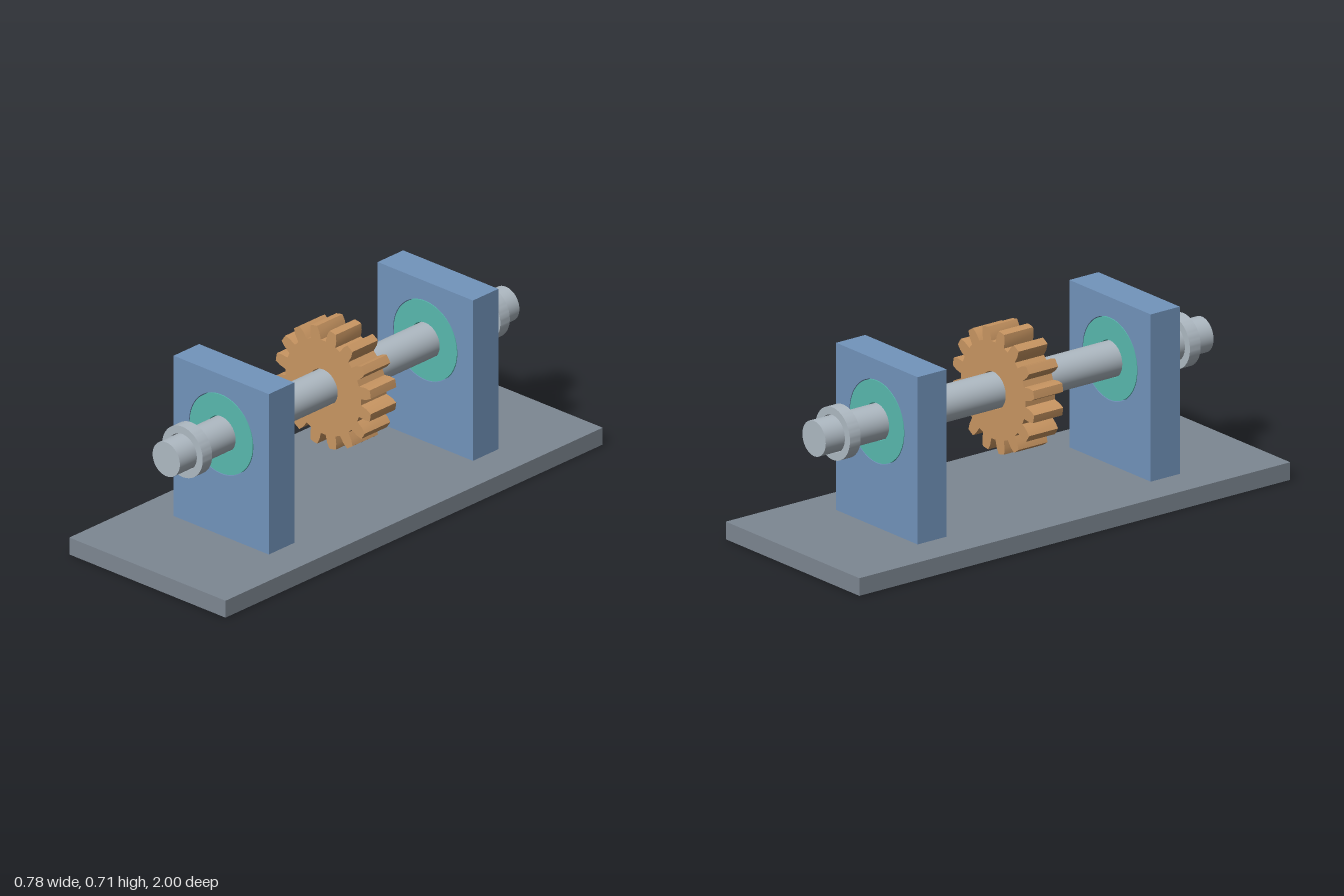
import * as THREE from 'three';
import { toCreasedNormals } from 'three/addons/utils/BufferGeometryUtils.js';

const AXIS_Y = 0.475, SHAFT_R = 0.068, BORE_R = 0.0715;

function material(name, color) {
  const m = new THREE.MeshStandardMaterial({ color });
  m.name = name;
  return m;
}

function circle(r, Type = THREE.Shape) {
  return new Type().absarc(0, 0, r, 0, Math.PI * 2, false);
}

// Plate with a round hole, extruded along z and centred on its own middle
function plate(shape, holeRadius, depth) {
  shape.holes.push(circle(holeRadius, THREE.Path));
  const g = new THREE.ExtrudeGeometry(shape, { depth, bevelEnabled: false, curveSegments: 40 });
  g.translate(0, 0, -depth / 2);
  return toCreasedNormals(g, 0.3);
}

// Spur gear outline, with a gap centred on each axis
function gearShape(teeth, rootR, tipR) {
  const pts = [];
  const step = (Math.PI * 2) / teeth;
  const rad = THREE.MathUtils.degToRad;
  const midR = (rootR + tipR) / 2 + 0.004;
  const flank = [[rootR, -7.6], [midR, -6.1], [tipR, -3.8], [tipR, 0], [tipR, 3.8], [midR, 6.1], [rootR, 7.6]];
  for (let i = 0; i < teeth; i++) {
    for (const [r, deg] of flank) {
      const a = (i + 0.5) * step + rad(deg);
      pts.push(new THREE.Vector2(r * Math.cos(a), r * Math.sin(a)));
    }
  }
  return new THREE.Shape(pts);
}

export function createModel() {
  const model = new THREE.Group();
  model.name = 'gearShaftStand';

  const baseGrey = material('base grey', 0x7d8792);
  const supportBlue = material('support blue', 0x7294bc);
  const bearingTeal = material('bearing teal', 0x58b9ae);
  const steel = material('shaft steel', 0xafbac3);
  const bronze = material('gear bronze', 0xc99662);

  const add = (name, geometry, mat, y, z = 0) => {
    const mesh = new THREE.Mesh(geometry, mat);
    mesh.name = name;
    mesh.position.set(0, y, z);
    model.add(mesh);
  };

  // Base plate
  add('base', new THREE.BoxGeometry(0.778, 0.068, 2), baseGrey, 0.034);

  // Shaft along z
  const shaft = new THREE.CylinderGeometry(SHAFT_R, SHAFT_R, 1.8, 64);
  shaft.rotateX(Math.PI / 2);
  add('shaft', shaft, steel, AXIS_Y);

  // Gear in the middle
  add('gear', plate(gearShape(16, 0.188, 0.239), BORE_R, 0.135), bronze, AXIS_Y);

  // Support, bearing and collar at each end
  const wall = new THREE.Shape();
  const bottom = 0.068 - AXIS_Y, top = 0.713 - AXIS_Y, half = 0.237;
  wall.moveTo(-half, bottom).lineTo(half, bottom).lineTo(half, top).lineTo(-half, top).closePath();
  const supportGeo = plate(wall, 0.16, 0.135);
  const bearingGeo = plate(circle(0.157), BORE_R, 0.135);
  const collarGeo = plate(circle(0.101), BORE_R, 0.05);
  for (const [end, s] of [['front', 1], ['back', -1]]) {
    add(end + 'Support', supportGeo, supportBlue, AXIS_Y, s * 0.541);
    add(end + 'Bearing', bearingGeo, bearingTeal, AXIS_Y, s * 0.541);
    add(end + 'Collar', collarGeo, steel, AXIS_Y, s * 0.789);
  }
  return model;
}
